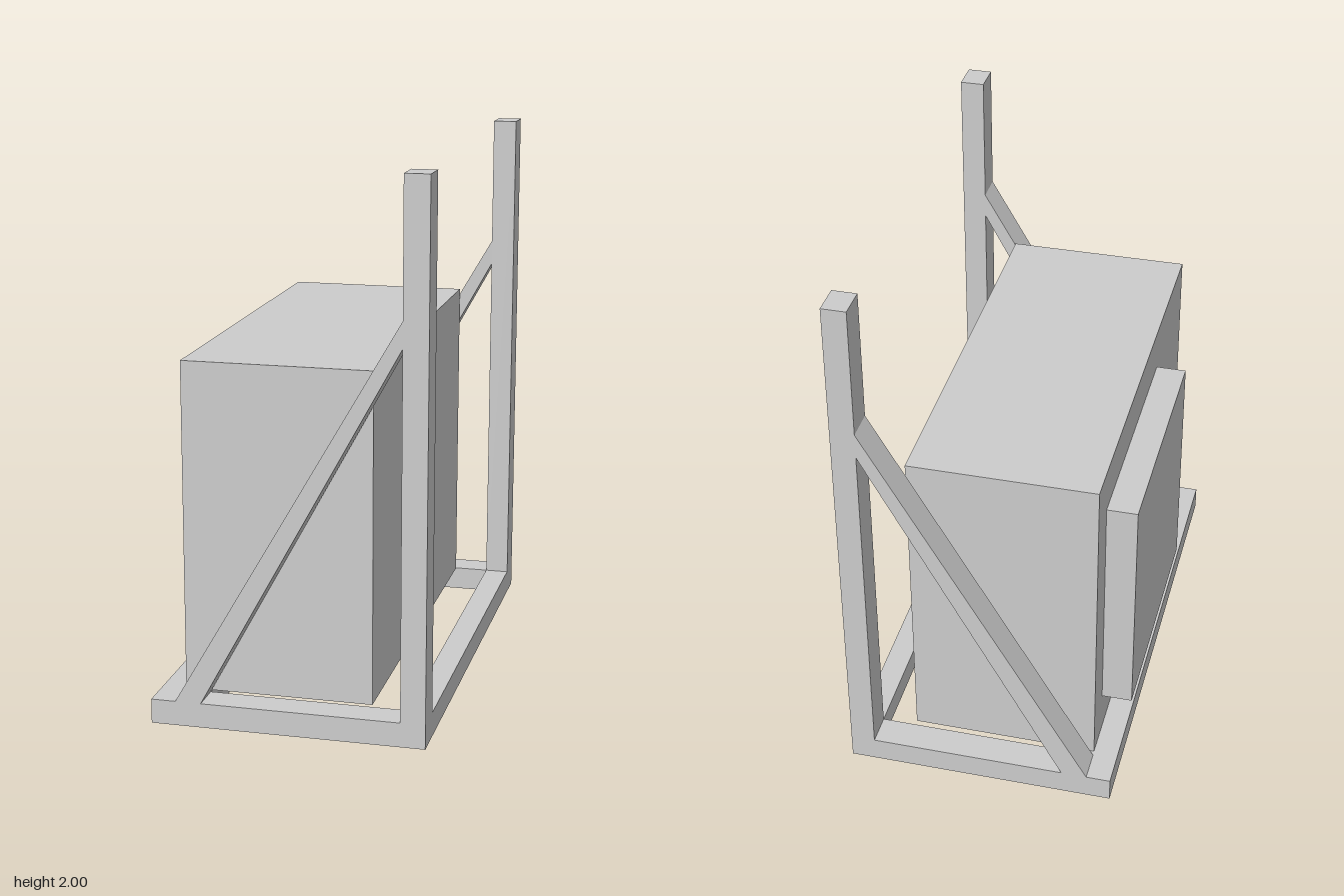
import * as THREE from 'three';

export function createModel() {
  const group = new THREE.Group();
  const material = new THREE.MeshStandardMaterial({ color: 0xcccccc, flatShading: true });

  // Box given by its limits on each axis
  function block(name, [x0, x1], [y0, y1], [z0, z1]) {
    const mesh = new THREE.Mesh(new THREE.BoxGeometry(x1 - x0, y1 - y0, z1 - z0), material);
    mesh.position.set((x0 + x1) / 2, (y0 + y1) / 2, (z0 + z1) / 2);
    mesh.name = name;
    group.add(mesh);
  }

  const outer = 0.915, inner = 0.797, railTop = 0.09;

  // Base frame: the wide rail carries the edge of the cabinet
  block('wideBaseRail', [-0.49, -0.305], [0, railTop], [-inner, inner]);
  block('narrowBaseRail', [0.42, 0.51], [0, railTop], [-inner, inner]);

  // Diagonal brace outline, from the base up to the post
  const braceShape = new THREE.Shape([
    new THREE.Vector2(-0.4, railTop),
    new THREE.Vector2(-0.305, railTop),
    new THREE.Vector2(0.42, 1.415),
    new THREE.Vector2(0.42, 1.51),
  ]);
  const braceGeometry = new THREE.ExtrudeGeometry(braceShape, { depth: outer - inner, bevelEnabled: false });

  // Each end: base rail, upright post and brace
  for (const [side, z0, z1] of [['left', inner, outer], ['right', -outer, -inner]]) {
    block(side + 'EndRail', [-0.49, 0.51], [0, railTop], [z0, z1]);
    block(side + 'Post', [0.42, 0.51], [railTop, 2], [z0, z1]);
    const brace = new THREE.Mesh(braceGeometry, material);
    brace.position.z = z0;
    brace.name = side + 'Brace';
    group.add(brace);
  }

  // Cabinet and the raised panel on its face
  block('cabinet', [-0.4, 0.292], [0.094, 1.307], [-0.78, 0.788]);
  block('raisedPanel', [-0.513, -0.4], [0.258, 1.142], [-0.65, 0.277]);

  return group;
}
